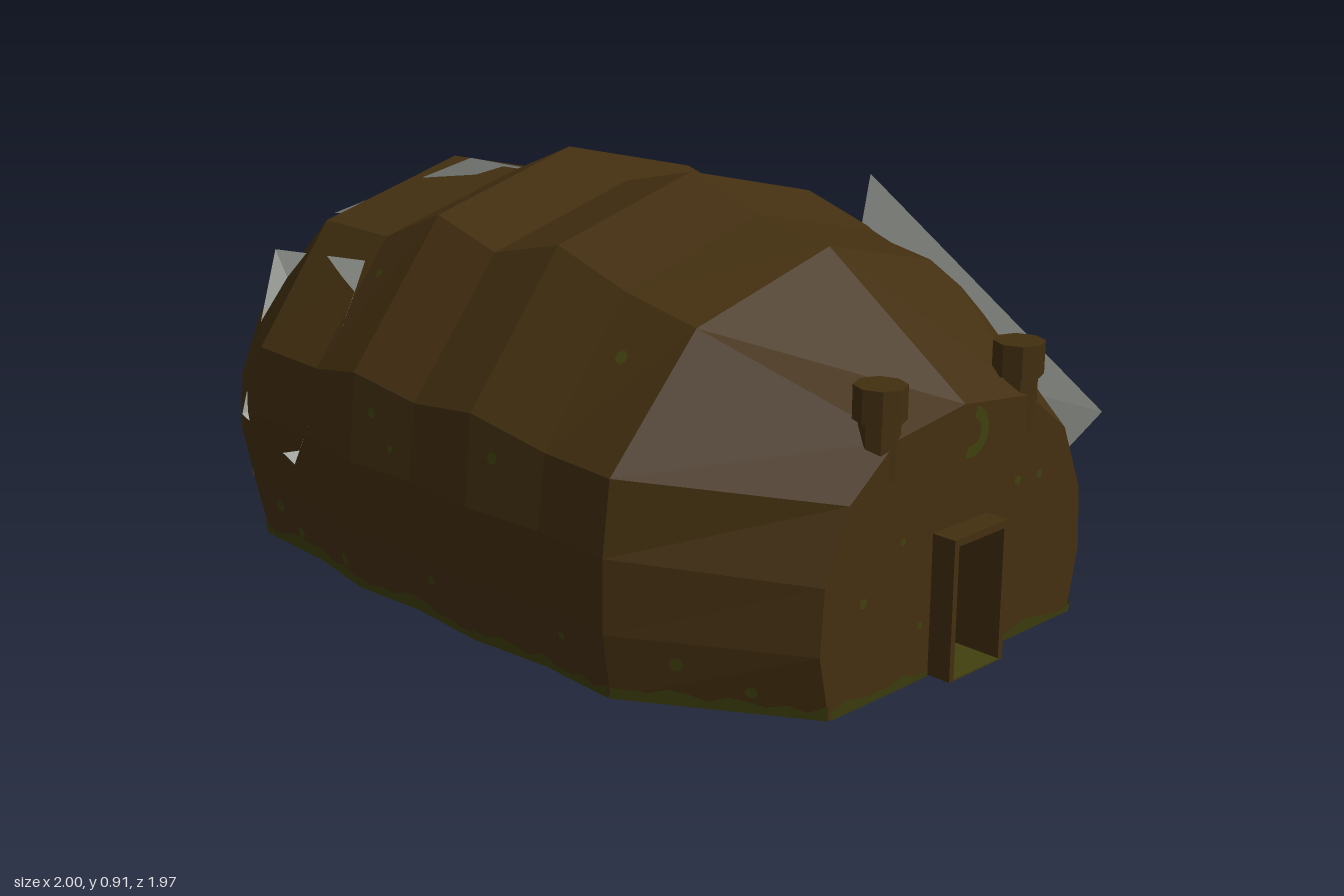
import * as THREE from 'three';

const flat = (name, color, extra = {}) => {
  const m = new THREE.MeshStandardMaterial({ color, flatShading: true, ...extra });
  m.name = name;
  return m;
};

function seeded(seed) {
  return () => (seed = (seed * 16807) % 2147483647) / 2147483647;
}

// Half cross-section of a bay rib: bulging wall, shoulder, ridge
const rib = (w, shoulder, top) => [
  [w - 0.02, 0], [w, 0.14], [w, 0.3], [w - 0.02, shoulder], [0.39, top - 0.1], [0, top],
];
const END = [[0.39, 0], [0.42, 0.14], [0.41, 0.28], [0.345, 0.43], [0.21, 0.53], [0, 0.557]];
const RIBS = [
  [-0.99, END],
  [-0.63, rib(0.61, 0.46, 0.83)],
  [-0.4, rib(0.62, 0.46, 0.83)],
  [-0.21, rib(0.655, 0.5, 0.912)],
  [-0.02, rib(0.64, 0.47, 0.86)],
  [0.185, rib(0.655, 0.5, 0.912)],
  [0.39, rib(0.635, 0.46, 0.85)],
  [0.59, rib(0.645, 0.46, 0.815)],
  [0.957, END],
];

// Mirror a half section into a full arch, from +x foot to -x foot
const arch = (half) => [...half, ...half.slice(0, -1).reverse().map(([x, y]) => [-x, y])];

function soup(points) {
  const g = new THREE.BufferGeometry();
  g.setAttribute('position', new THREE.Float32BufferAttribute(points.flat(), 3));
  g.computeVertexNormals();
  return g;
}

// Triangles of the ribbed shell
function shellTriangles() {
  const rings = RIBS.map(([z, half]) => arch(half).map(([x, y]) => [x, y, z]));
  const out = [];
  for (let k = 0; k < rings.length - 1; k++) {
    for (let i = 0; i < rings[k].length - 1; i++) {
      const a = rings[k][i], b = rings[k + 1][i], c = rings[k][i + 1], d = rings[k + 1][i + 1];
      out.push([a, c, b], [b, c, d]);
    }
  }
  return out;
}

// Jagged moss strip along a straight stretch of wall foot, outward on its right
function mossStrip(from, to, rand, out) {
  const steps = Math.max(3, Math.round(Math.hypot(to[0] - from[0], to[1] - from[1]) / 0.04));
  const dx = to[0] - from[0], dz = to[1] - from[1], len = Math.hypot(dx, dz);
  const nx = dz / len, nz = -dx / len;
  let previous = null;
  for (let i = 0; i <= steps; i++) {
    const t = i / steps, h = 0.012 + 0.024 * rand();
    const x = from[0] + dx * t, z = from[1] + dz * t;
    const low = [x + nx * 0.005, 0, z + nz * 0.005];
    const lean = 0.006 + 0.15 * h;
    const high = [x + nx * lean, h, z + nz * lean];
    if (previous) out.push(previous[0], low, previous[1], previous[1], low, high);
    previous = [low, high];
  }
}

export function createModel() {
  const brown = flat('earth brown', 0x432f10);
  const moss = flat('moss green', 0x40400f, { side: THREE.DoubleSide });
  const pale = flat('pale grey', 0xd6dad3, { side: THREE.DoubleSide });

  const root = new THREE.Group();
  root.name = 'shelter';
  const hut = new THREE.Group();
  hut.name = 'hut';
  hut.rotation.y = Math.PI / 4;
  hut.position.x = -0.006;
  root.add(hut);
  const add = (parent, name, geometry, material, x = 0, y = 0, z = 0) => {
    const m = new THREE.Mesh(geometry, material);
    m.name = name;
    m.position.set(x, y, z);
    parent.add(m);
    return m;
  };
  const rand = seeded(41);

  // Ribbed shell
  const triangles = shellTriangles();
  add(hut, 'ribbedShell', soup(triangles.flat()), brown);

  // Underside
  const feet = [
    ...RIBS.map(([z, h]) => [h[0][0], z]),
    ...RIBS.map(([z, h]) => [-h[0][0], z]).reverse(),
  ];
  const floor = new THREE.ShapeGeometry(new THREE.Shape(feet.map((p) => new THREE.Vector2(...p))));
  add(hut, 'underside', floor.rotateX(Math.PI / 2), moss);

  // Both end walls, each with a deep doorway
  const outline = [
    [0.085, 0], ...arch(END), [-0.085, 0], [-0.085, 0.295], [0.085, 0.295],
  ].map((p) => new THREE.Vector2(...p));
  for (const [name, wallZ, doorZ, turn] of [
    ['front', 0.957, 1.013, 0], ['back', 0.99, 1.047, Math.PI],
  ]) {
    const end = new THREE.Group();
    end.name = name + 'End';
    end.rotation.y = turn;
    hut.add(end);
    add(end, 'endWall', new THREE.ShapeGeometry(new THREE.Shape(outline)), brown, 0, 0, wallZ);
    const depth = 0.5, mid = doorZ - depth / 2;
    for (const s of [-1, 1]) {
      add(end, 'doorJamb', new THREE.BoxGeometry(0.014, 0.305, depth), brown, s * 0.08, 0.1525, mid);
    }
    add(end, 'doorLintel', new THREE.BoxGeometry(0.174, 0.016, depth), brown, 0, 0.298, mid);
    add(end, 'doorwayFloor', new THREE.BoxGeometry(0.15, 0.004, depth), moss, 0, 0.002, mid);
    add(end, 'doorwayBack', new THREE.PlaneGeometry(0.15, 0.3), moss, 0, 0.15, doorZ - depth + 0.01);

    // Moss on the end wall
    add(end, 'mossCurl', new THREE.RingGeometry(0.03, 0.055, 9, 1, -1.9, 3.2), moss, 0.02, 0.495, wallZ + 0.004);
    for (let i = 0; i < 6; i++) {
      const x = (rand() - 0.5) * 0.6, y = 0.1 + rand() * 0.3;
      if (Math.abs(x) > 0.12) {
        add(end, 'mossSpot', new THREE.CircleGeometry(0.006 + 0.006 * rand(), 5), moss, x, y, wallZ + 0.004);
      }
    }
  }

  // Vent pipes over the front door
  for (const s of [-1, 1]) {
    add(hut, 'ventPipe', new THREE.CylinderGeometry(0.042, 0.042, 0.16, 8), brown, s * 0.22, 0.53, 0.92);
    add(hut, 'ventCap', new THREE.CylinderGeometry(0.054, 0.054, 0.07, 8), brown, s * 0.22, 0.603, 0.92);
  }

  // Moss around the foot of the walls
  const strip = [];
  const loop = feet.slice().reverse();
  for (let i = 0; i < loop.length; i++) {
    const a = loop[i], b = loop[(i + 1) % loop.length];
    if (Math.abs(a[1] - b[1]) > 0.01) mossStrip(b, a, rand, strip);
    else {
      const s = Math.sign(b[0]) * 0.095;
      mossStrip(b, [s, b[1]], rand, strip);
      mossStrip([-s, a[1]], a, rand, strip);
    }
  }
  add(hut, 'footMoss', soup(strip), moss);

  // Small moss spots lying on the shell
  for (let i = 0; i < 26; i++) {
    const [a, b, c] = triangles[Math.floor(rand() * triangles.length)].map((p) => new THREE.Vector3(...p));
    const normal = new THREE.Triangle(a, b, c).getNormal(new THREE.Vector3());
    const at = a.add(b).add(c).divideScalar(3).addScaledVector(normal, 0.003);
    const spot = add(hut, 'mossSpot', new THREE.CircleGeometry(0.008 + 0.008 * rand(), 6), moss, at.x, at.y, at.z);
    spot.quaternion.setFromUnitVectors(new THREE.Vector3(0, 0, 1), normal);
  }

  // Pale sheets dented in the middle, with the shell bulging through them
  const sheets = {
    leftSheet: [[0.515, 0.913, 0.15], [1.0, 0.45, 0.388], [0.95, 0.145, -0.04], [0.52, 0.49, -0.395]],
    backSheet: [[-0.45, 0.585, -0.87], [-0.77, 0.66, -0.555], [-0.39, 0.87, -0.22], [-0.045, 0.71, -0.66]],
    rightSheet: [[-0.89, 0.61, -0.37], [-0.97, 0.22, -0.26], [-0.77, 0.235, 0.15], [-0.6, 0.7, 0.1]],
  };
  for (const [name, corners] of Object.entries(sheets)) {
    const centre = [0, 1, 2].map((k) => corners.reduce((sum, p) => sum + p[k], 0) / 4);
    const dent = [centre[0] * 0.9, centre[1] - 0.06, centre[2] * 0.9];
    const faces = corners.flatMap((p, i) => [p, dent, corners[(i + 1) % 4]]);
    add(root, name, soup(faces), pale);
  }
  return root;
}
